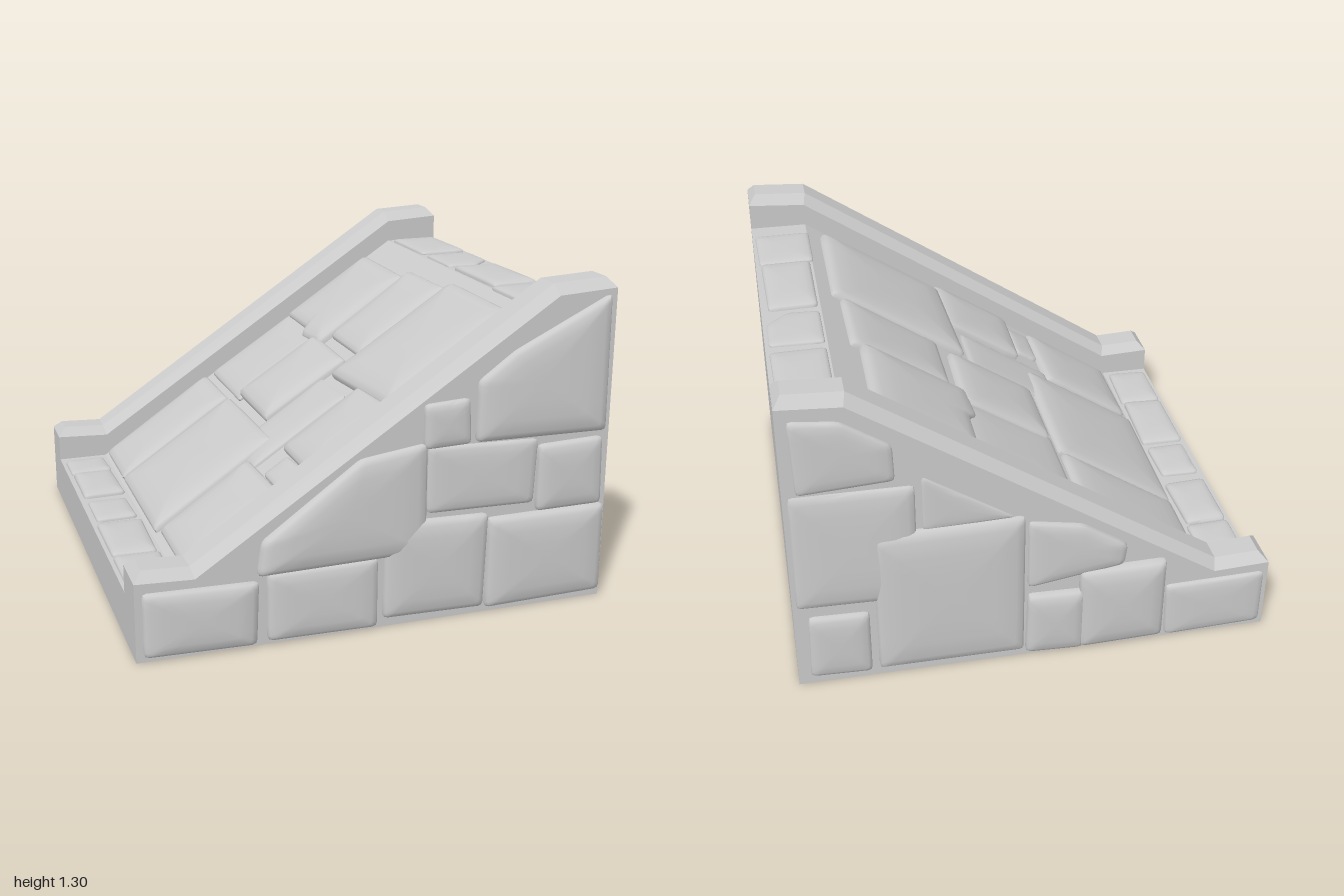
import * as THREE from 'three';
import { toCreasedNormals } from 'three/addons/utils/BufferGeometryUtils.js';

const stoneMat = new THREE.MeshStandardMaterial({ color: 0xcccccc });
const wallMat = new THREE.MeshStandardMaterial({ color: 0xcccccc, flatShading: true });
const V = (x, y, z) => new THREE.Vector3(x, y, z);

function geometryFrom(points, index) {
  const g = new THREE.BufferGeometry().setFromPoints(points);
  g.setIndex(index);
  g.computeVertexNormals();
  return g;
}

// Side wall with a chamfered coping, swept through four stations along x
function sideWall(z0, z1) {
  const c = 0.04;
  const stations = [ // edge x, edge y, coping x, coping y
    [-0.945, 0.31, -0.91, 0.345], [-0.72, 0.3, -0.73, 0.337],
    [0.7, 1.245, 0.69, 1.285], [0.94, 1.26, 0.91, 1.297],
  ];
  const points = [], index = [];
  for (const [x, y, tx, ty] of stations) {
    points.push(V(x, 0, z0), V(x, y, z0), V(tx, ty, z0 + c),
      V(tx, ty, z1 - c), V(x, y, z1), V(x, 0, z1));
  }
  const quad = (a, b, d, e) => index.push(a, b, d, a, d, e);
  for (let s = 0; s < 3; s++) {
    for (let k = 0; k < 6; k++) {
      const a = s * 6 + k, b = s * 6 + (k + 1) % 6;
      quad(a, b, b + 6, a + 6);
    }
  }
  quad(0, 5, 4, 1);
  quad(1, 4, 3, 2);
  quad(18, 19, 22, 23);
  quad(19, 20, 21, 22);
  return new THREE.Mesh(geometryFrom(points, index).toNonIndexed(), wallMat);
}

// Pillow-shaped stone: outline shrunk in rings towards a raised centre.
// face = { o, u, v, n } carries outline coordinates onto a surface.
function stone(outline, height, face, seed) {
  const facing = Math.sign(V(0, 0, 0).crossVectors(face.u, face.v).dot(face.n));
  let pts = outline.map(([a, b]) => new THREE.Vector2(a, b));
  if (THREE.ShapeUtils.area(pts) * facing < 0) pts = pts.reverse();

  // Slightly rounded corners and subdivided edges
  const ring = [], N = 6;
  pts.forEach((p, i) => {
    const prev = pts[(i + pts.length - 1) % pts.length], next = pts[(i + 1) % pts.length];
    const near = (q) => p.clone().lerp(q, Math.min(0.3, 0.018 / p.distanceTo(q)));
    const a = near(prev), b = near(next);
    ring.push(a, p.clone().multiplyScalar(2).add(a).add(b).divideScalar(4));
    const nextPrev = next.clone().lerp(p, Math.min(0.3, 0.018 / p.distanceTo(next)));
    for (let k = 0; k < N; k++) ring.push(b.clone().lerp(nextPrev, k / N));
  });

  const mid = new THREE.Vector2();
  pts.forEach((p) => mid.add(p));
  mid.divideScalar(pts.length);
  const tiltA = Math.sin(seed * 2.3) * 0.5, tiltB = Math.cos(seed * 1.7) * 0.5;
  const put = (p, h) => face.o.clone().addScaledVector(face.u, p.x)
    .addScaledVector(face.v, p.y).addScaledVector(face.n, h);

  const rings = [[1, -0.01], [1, 0.35], [0.97, 0.58], [0.88, 0.78], [0.65, 0.93], [0.35, 0.99]];
  const points = [], index = [], M = ring.length;
  rings.forEach(([s, h], r) => ring.forEach((p) => {
    const q = mid.clone().lerp(p, s);
    const tilt = 1 + tiltA * (q.x - mid.x) + tiltB * (q.y - mid.y);
    points.push(put(q, r ? h * height * tilt : h));
  }));
  points.push(put(mid, height));
  for (let r = 0; r < rings.length; r++) {
    for (let k = 0; k < M; k++) {
      const a = r * M + k, b = r * M + (k + 1) % M;
      if (r === rings.length - 1) index.push(a, b, rings.length * M);
      else index.push(a, b, b + M, a, b + M, a + M);
    }
  }
  return new THREE.Mesh(toCreasedNormals(geometryFrom(points, index), 0.9), stoneMat);
}

// Four-cornered outline from its bounds, with a little deterministic wobble
function block(a0, b0, a1, b1) {
  const w = (k) => 0.006 * Math.sin(37 * a0 + 23 * b1 + 2.1 * k);
  return [[a0 + w(1), b0 + w(2)], [a1 + w(3), b0 + w(4)], [a1 + w(5), b1 + w(6)], [a0 + w(7), b1 + w(8)]];
}

export function createModel() {
  const model = new THREE.Group();
  const add = (name, mesh) => { mesh.name = name; model.add(mesh); };

  // Ramp body between the walls
  const profile = [[-0.945, 0], [0.94, 0], [0.94, 1.15], [0.7, 1.15], [-0.73, 0.2], [-0.945, 0.2]];
  const shape = new THREE.Shape(profile.map(([x, y]) => new THREE.Vector2(x, y)));
  const body = new THREE.ExtrudeGeometry(shape, { depth: 1.54, bevelEnabled: false });
  add('rampBody', new THREE.Mesh(body.translate(0, 0, -0.77), wallMat));
  add('frontWall', sideWall(0.77, 0.955));
  add('backWall', sideWall(-0.945, -0.77));

  const X = V(1, 0, 0), Y = V(0, 1, 0), Z = V(0, 0, 1);
  const slope = 0.95 / 1.43;
  const faces = {
    front: { o: V(0, 0, 0.955), u: X, v: Y, n: Z },
    back: { o: V(0, 0, -0.945), u: X, v: Y, n: V(0, 0, -1) },
    top: { o: V(0, 1.15, 0), u: X, v: Z, n: Y },
    low: { o: V(0, 0.2, 0), u: X, v: Z, n: Y },
    ramp: { o: V(0, 0.2 + 0.73 * slope, 0), u: V(1, slope, 0), v: Z, n: V(-slope, 1, 0).normalize() },
  };

  // Stones on each surface: [height, outline]
  const stones = {
    front: [
      [0.04, block(-0.915, 0.017, -0.49, 0.265)], [0.035, block(-0.445, 0.017, -0.02, 0.285)],
      [0.04, block(0.01, 0.035, 0.425, 0.42)], [0.045, block(0.428, 0.028, 0.932, 0.4)],
      [0.045, [[-0.49, 0.285], [0.175, 0.293], [0.172, 0.725], [-0.09, 0.69], [-0.47, 0.415]]],
      [0.025, block(0.18, 0.44, 0.625, 0.7)], [0.035, block(0.637, 0.405, 0.91, 0.673)],
      [0.03, block(0.16, 0.707, 0.345, 0.88)],
      [0.042, [[0.37, 0.71], [0.915, 0.705], [0.91, 1.24], [0.52, 1.05], [0.375, 0.945]]],
    ],
    back: [
      [0.025, [[0.9, 1.21], [0.72, 1.19], [0.54, 1.07], [0.535, 0.92], [0.89, 0.9]]],
      [0.03, block(0.46, 0.38, 0.925, 0.89)], [0.042, block(0.05, 0.04, 0.63, 0.69)],
      [0.03, block(0.65, 0.04, 0.89, 0.33)],
      [0.03, [[0.04, 0.35], [0.04, 0.66], [-0.17, 0.62], [-0.35, 0.5], [-0.34, 0.41]]],
      [0.012, [[0.44, 0.68], [0.44, 0.92], [0.09, 0.69]]],
      [0.04, block(-0.19, 0.02, 0.045, 0.31)], [0.05, block(-0.505, 0.025, -0.17, 0.4)],
      [0.025, block(-0.92, 0.02, -0.525, 0.265)],
    ],
    ramp: [
      [0.035, block(-0.71, -0.747, -0.225, -0.378)], [0.025, block(-0.2, -0.745, 0.2, -0.285)],
      [0.045, [[0.185, -0.74], [0.58, -0.735], [0.575, -0.235], [0.165, -0.23], [0.15, -0.42], [0.185, -0.46]]],
      [0.04, block(-0.72, -0.373, -0.21, 0.283)], [0.045, block(-0.175, -0.322, 0.178, 0.08)],
      [0.035, [[0.22, -0.225], [0.61, -0.26], [0.615, 0.12], [0.22, 0.12]]],
      [0.02, block(-0.32, 0.08, 0.07, 0.36)],
      [0.05, [[0.1, 0.12], [0.645, 0.125], [0.643, 0.705], [0.13, 0.698]]],
      [0.04, block(-0.695, 0.305, -0.315, 0.728)], [0.02, block(-0.313, 0.47, -0.205, 0.7)],
      [0.042, block(-0.2, 0.392, 0.135, 0.743)],
    ],
    top: [
      [0.02, block(0.705, -0.735, 0.925, -0.37)],
      [0.015, [[0.71, -0.325], [0.925, -0.32], [0.925, -0.15], [0.84, -0.065], [0.71, -0.07]]],
      [0.027, block(0.715, -0.03, 0.912, 0.37)], [0.02, block(0.7, 0.378, 0.923, 0.655)],
    ],
    low: [
      [0.02, block(-0.927, -0.71, -0.75, -0.525)], [0.027, block(-0.927, -0.52, -0.747, -0.218)],
      [0.02, block(-0.925, -0.162, -0.75, 0.07)], [0.025, block(-0.927, 0.105, -0.747, 0.456)],
      [0.022, block(-0.927, 0.46, -0.747, 0.73)],
    ],
  };
  for (const [side, list] of Object.entries(stones)) {
    list.forEach(([h, outline], i) => add(`${side}Stone${i + 1}`, stone(outline, h, faces[side], i + 1)));
  }
  return model;
}
